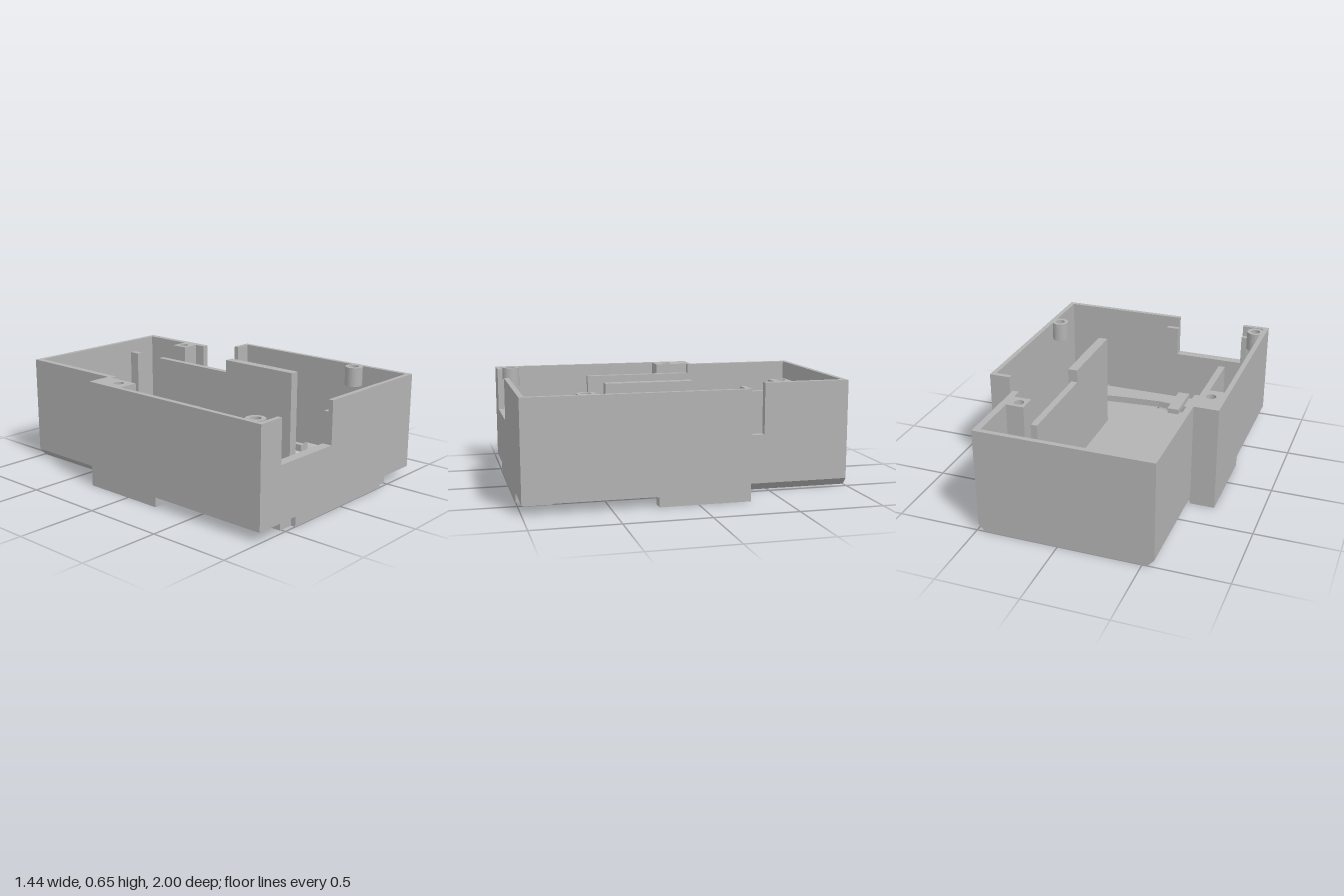
import * as THREE from 'three';

export function createModel() {
  const group = new THREE.Group();
  const grey = new THREE.MeshStandardMaterial({ color: 0xb3b3b3 });
  const H = 0.65, T = 0.045, CUT = 0.06;

  const add = (name, geo) => {
    const mesh = new THREE.Mesh(geo, grey);
    mesh.name = name;
    group.add(mesh);
    return mesh;
  };
  const box = (name, x0, x1, y0, y1, z0, z1) =>
    add(name, new THREE.BoxGeometry(x1 - x0, y1 - y0, z1 - z0)
      .translate((x0 + x1) / 2, (y0 + y1) / 2, (z0 + z1) / 2));
  const shapeOf = (pts, holes = []) => {
    const s = new THREE.Shape(pts.map(p => new THREE.Vector2(p[0], p[1])));
    for (const [x, y, r] of holes) s.holes.push(new THREE.Path().absarc(x, y, r, 0, Math.PI * 2, true));
    return s;
  };
  const opts = depth => ({ depth, bevelEnabled: false, curveSegments: 16 });
  // plan outline in (x, z), raised from y0 to y1
  const plan = (name, shape, y0, y1) =>
    add(name, new THREE.ExtrudeGeometry(shape, opts(y1 - y0)).rotateX(Math.PI / 2).translate(0, y1, 0));
  // elevation outline in (x, y), running from z0 to z1
  const elevation = (name, pts, z0, z1) =>
    add(name, new THREE.ExtrudeGeometry(shapeOf(pts), opts(z1 - z0)).translate(0, 0, z0));
  const rect = (x0, x1, z0, z1) => [[x0, z0], [x1, z0], [x1, z1], [x0, z1]];

  // floor with four screw holes and a slightly curved front lip
  const outline = [
    [-0.53, -0.97], [0.45, -0.97], [0.45, -0.28], [0.69, -0.28], [0.69, 0.23], [0.65, 0.23],
    [0.65, 0], [0.415, 0], [0.415, 0.69], [0.44, 0.69], [0.43, 0.725],
    [0.25, 0.735], [0, 0.742], [-0.25, 0.735], [-0.43, 0.725], [-0.45, 0.69], [-0.415, 0.69],
    [-0.415, 0], [-0.65, 0], [-0.65, 0.23], [-0.69, 0.23], [-0.69, -0.28], [-0.53, -0.28],
  ];
  const screws = [-0.36, 0.36].flatMap(x => [-0.79, 0.615].map(z => [x, z, 0.035]));
  plan('floor', shapeOf(outline, screws), 0, T);
  plan('frontSill', shapeOf([[-0.51, 0.8], [-0.25, 0.83], [0, 0.85], [0.25, 0.83], [0.51, 0.8],
    [0.51, 0.97], [-0.51, 0.97]]), 0, T);

  // narrow rear section with chamfered lower edges
  elevation('rearWall', [[-0.53, 0], [0.45, 0], [0.49, T], [0.49, H], [-0.57, H], [-0.57, T]], -1, -0.97);
  elevation('rearRightWall', [[-0.53, 0], [-0.48, 0], [-0.48, T], [-0.53, 0.13], [-0.53, H], [-0.57, H], [-0.57, T]],
    -0.97, -0.28);
  const leftWall = top => [[0.45, 0], [0.49, T], [0.49, top], [0.45, top]];
  elevation('rearLeftWall', leftWall(H), -0.97, -0.47);
  elevation('rearLeftWallNotched', leftWall(0.34), -0.47, -0.28);

  // wide front section, side walls raised off the ground towards the front
  for (const s of [-1, 1]) {
    const a = s < 0 ? -0.72 : 0.69, b = a + 0.03;
    box('sideWallRear', a, b, 0, H, -0.31, 0.23);
    box('sideWallFront', a, b, CUT, H, 0.23, 1);
  }
  box('rightShoulderWall', -0.69, -0.57, 0, H, -0.31, -0.28);
  box('leftShoulderWallLow', 0.45, 0.59, 0, 0.34, -0.31, -0.28);
  box('leftShoulderWall', 0.59, 0.69, 0, H, -0.31, -0.28);

  // front wall with its opening and lower centre section
  elevation('frontWall', [
    [-0.69, CUT], [-0.415, CUT], [-0.415, 0], [0.415, 0], [0.415, CUT], [0.69, CUT], [0.69, H],
    [-0.1, H], [-0.1, 0.39], [-0.55, 0.39], [-0.55, H], [-0.69, H]], 0.97, 1);
  elevation('openingFrame', [
    [-0.59, 0.32], [-0.02, 0.32], [-0.02, 0.58], [-0.1, 0.58], [-0.1, 0.39],
    [-0.55, 0.39], [-0.55, 0.58], [-0.59, 0.58]], 0.94, 0.97);

  // inner dividers, ribs and bars
  box('rightDivider', -0.57, -0.53, CUT, 0.59, -0.28, 0.41);
  box('leftDividerLow', 0.24, 0.28, T, 0.57, -0.69, -0.08);
  box('leftDividerHigh', 0.24, 0.3, T, H, -0.08, 0.45);
  box('rearRib', 0.24, 0.28, T, 0.57, -0.97, -0.9);
  box('rearLedge', -0.27, 0.17, T, 0.09, -0.97, -0.89);
  for (const [a, b] of [[-0.32, -0.23], [-0.19, -0.11]]) box('frontBar', a, b, T, 0.08, 0.7, 0.97);

  // screw posts with blind holes
  const post = (name, x0, x1, z0, z1, hx, hz) => {
    box(name + 'Base', x0, x1, 0.02, 0.5, z0, z1);
    plan(name + 'Top', shapeOf(rect(x0, x1, z0, z1), [[hx, hz, 0.03]]), 0.5, H);
  };
  post('rightPost', -0.69, -0.57, -0.28, -0.07, -0.63, -0.15);
  post('leftPost', 0.34, 0.45, -0.65, -0.54, 0.39, -0.6);

  // short round bosses against the walls
  for (const [x, z] of [[0.65, 0.625], [-0.65, 0.905]]) {
    const ring = new THREE.Shape().absarc(x, z, 0.055, 0, Math.PI * 2);
    ring.holes.push(new THREE.Path().absarc(x, z, 0.03, 0, Math.PI * 2, true));
    plan('screwBoss', ring, 0.53, H);
  }
  return group;
}
